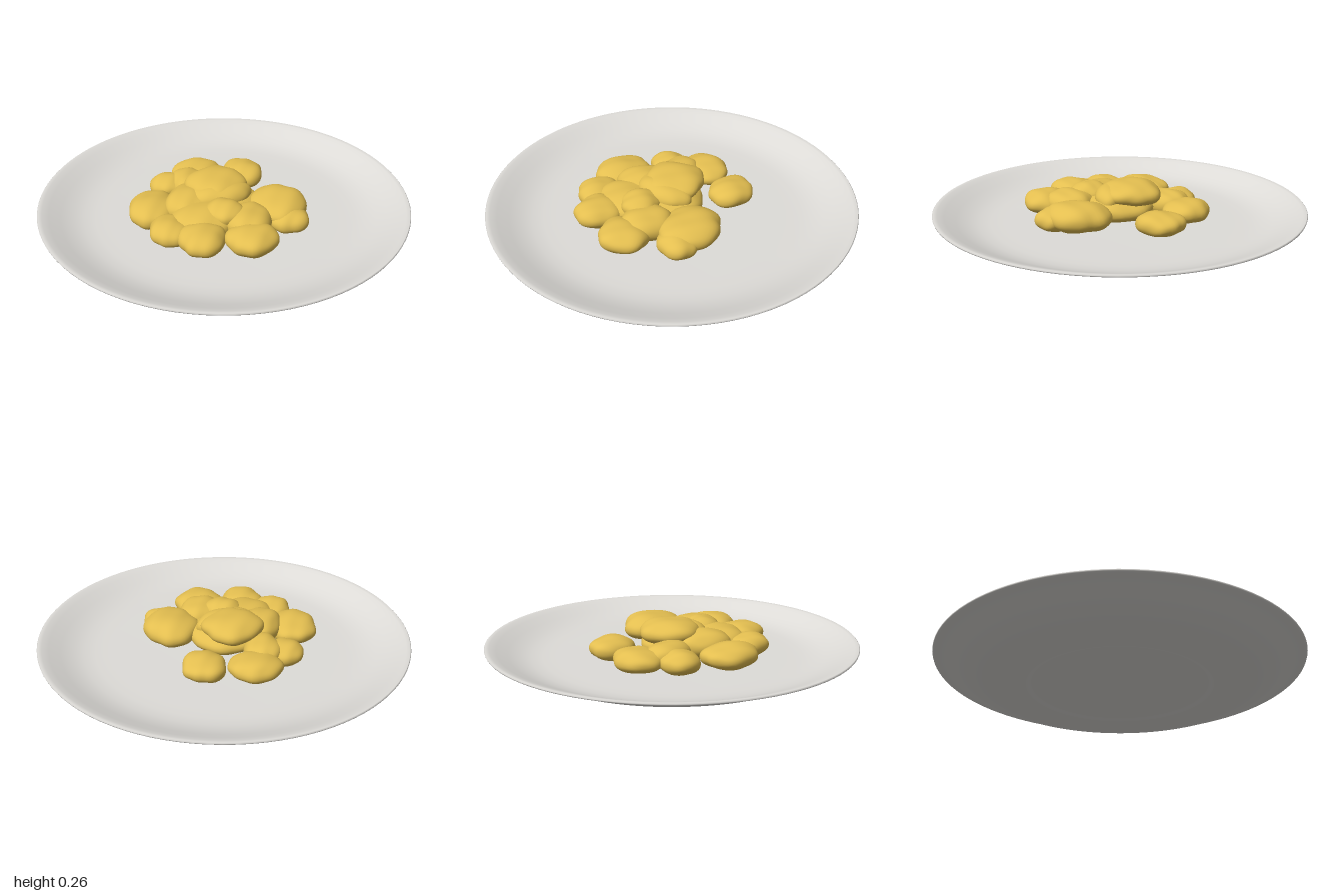
import * as THREE from 'three';
import { mergeVertices } from 'three/addons/utils/BufferGeometryUtils.js';

const plateMaterial = new THREE.MeshStandardMaterial({ color: 0xdedcd8 });
plateMaterial.name = 'off-white ceramic';
const eggMaterial = new THREE.MeshStandardMaterial({ color: 0xe3be50 });
eggMaterial.name = 'egg yellow';

// Rounded lump: an ellipsoid with bumps that differ by seed
function makeLump(rx, ry, rz, seed) {
  const ball = new THREE.IcosahedronGeometry(1, 7);
  ball.deleteAttribute('normal');
  ball.deleteAttribute('uv');
  const geometry = mergeVertices(ball, 1e-4);
  const pos = geometry.attributes.position;
  const v = new THREE.Vector3();
  for (let i = 0; i < pos.count; i++) {
    v.fromBufferAttribute(pos, i);
    const bump = 1
      + 0.045 * Math.sin(3.1 * v.x + 1.7 * seed) * Math.cos(2.7 * v.z + seed)
      + 0.03 * Math.sin(5.3 * v.z + 2.3 * seed + 2 * v.y)
      + 0.022 * Math.sin(8.1 * v.x + 4.1 * v.z + 3.9 * seed);
    // Fuller shoulders than a plain ellipsoid
    const flat = Math.sign(v.y) * Math.pow(Math.abs(v.y), 0.9);
    pos.setXYZ(i, v.x * bump * rx, flat * bump * ry, v.z * bump * rz);
  }
  geometry.computeVertexNormals();
  return geometry;
}

export function createModel() {
  const model = new THREE.Group();
  model.name = 'plateOfScrambledEggs';

  // Plate: recessed base, flared outside, thin rim, shallow bowl inside
  const profile = [
    [0, 0.012], [0.47, 0.012], [0.485, 0.01], [0.495, 0.002], [0.51, 0],
    [0.59, 0], [0.67, 0.008], [0.75, 0.022], [0.82, 0.043], [0.89, 0.075],
    [0.95, 0.104], [0.985, 0.115], [0.998, 0.119], [1, 0.125], [0.995, 0.13],
    [0.975, 0.127], [0.94, 0.114], [0.88, 0.088], [0.82, 0.066],
    [0.76, 0.053], [0.7, 0.048], [0.62, 0.047], [0, 0.047],
  ].map(([r, y]) => new THREE.Vector2(r, y));
  const plate = new THREE.Mesh(new THREE.LatheGeometry(profile, 96), plateMaterial);
  plate.name = 'plate';
  model.add(plate);

  // Egg lumps: x, z, half width, half depth, top height, half height
  const lumps = [
    [-0.12, -0.34, 0.145, 0.125, 0.165, 0.06],
    [0.14, -0.305, 0.115, 0.13, 0.165, 0.06],
    [-0.29, -0.21, 0.11, 0.105, 0.165, 0.06],
    [-0.18, -0.19, 0.1, 0.14, 0.185, 0.07],
    [-0.39, 0.05, 0.13, 0.16, 0.175, 0.065],
    [-0.04, -0.05, 0.16, 0.16, 0.255, 0.065],
    [-0.03, 0.03, 0.175, 0.11, 0.235, 0.07],
    [-0.2, 0.05, 0.125, 0.15, 0.21, 0.075],
    [0.28, 0.1, 0.15, 0.175, 0.2, 0.075],
    [0.32, 0.22, 0.11, 0.1, 0.165, 0.06],
    [-0.02, 0.2, 0.105, 0.11, 0.22, 0.06],
    [-0.15, 0.38, 0.125, 0.13, 0.18, 0.065],
    [-0.31, 0.27, 0.105, 0.12, 0.17, 0.06],
    [0.1, 0.4, 0.135, 0.13, 0.18, 0.065],
    [0.1, 0.25, 0.125, 0.14, 0.2, 0.075],
    [-0.13, 0.19, 0.17, 0.17, 0.195, 0.075],
    [-0.02, 0.05, 0.22, 0.22, 0.18, 0.07],
  ];
  const eggs = new THREE.Group();
  eggs.name = 'scrambledEggs';
  lumps.forEach(([x, z, rx, rz, top, ry], i) => {
    const lump = new THREE.Mesh(makeLump(rx, ry, rz, i + 1), eggMaterial);
    lump.name = `eggLump${i + 1}`;
    lump.position.set(x, top - ry, z);
    eggs.add(lump);
  });
  model.add(eggs);

  return model;
}
